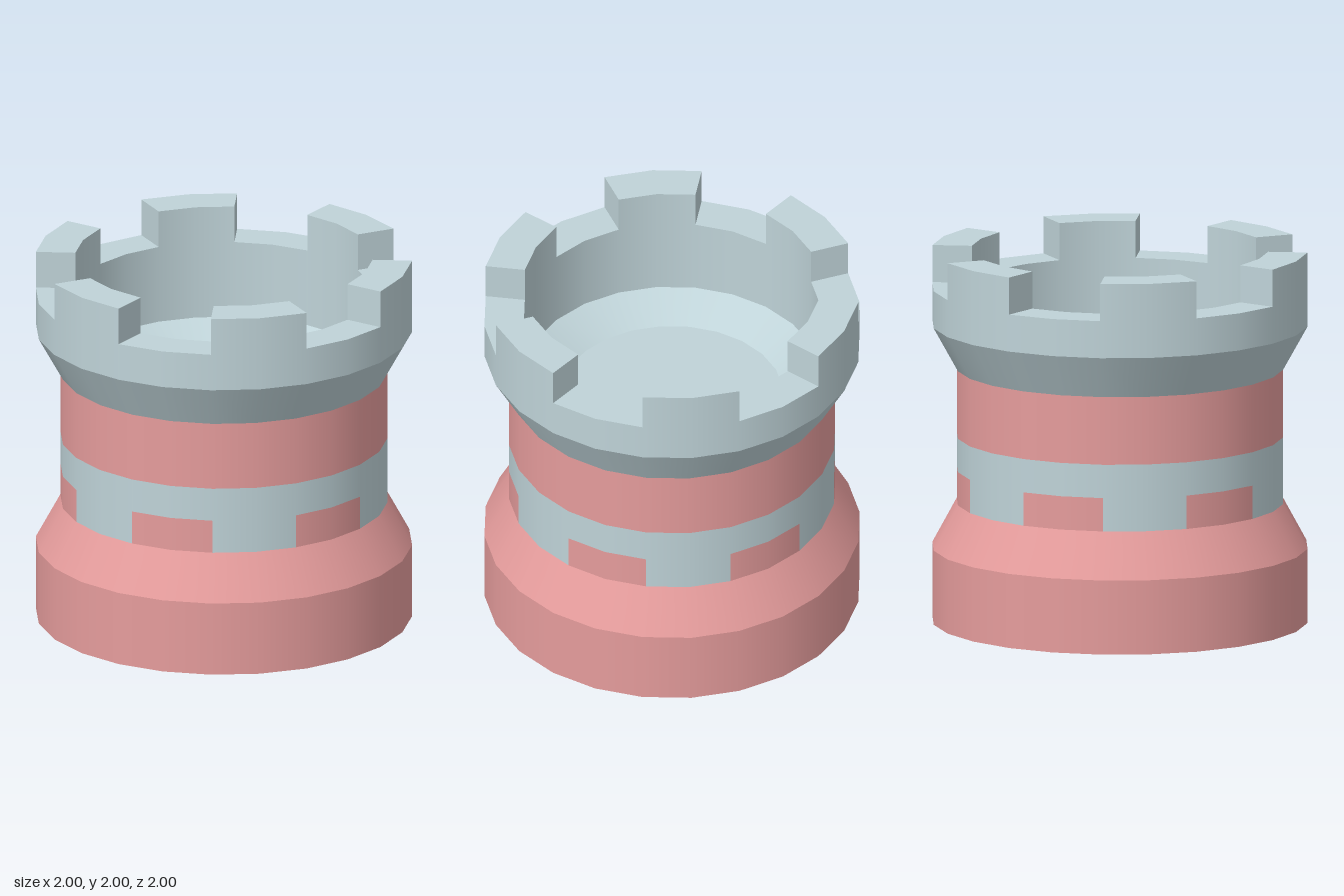
import * as THREE from 'three';
import { mergeGeometries } from 'three/addons/utils/BufferGeometryUtils.js';

const STEP = Math.PI / 6;             // 30 degrees: width of one merlon, gap or check
const OUT = 1, NECK = 0.87, IN = 0.79, FLOOR = 0.59;

// Turn a profile into bands with hard edges between them, smooth around the axis.
// start and count are in 30 degree steps, each made of two facets.
function turned(profile, start = 0, count = 12) {
  const bands = [];
  for (let i = 0; i + 1 < profile.length; i++) {
    const pair = [profile[i], profile[i + 1]].map(([r, y]) => new THREE.Vector2(r, y));
    bands.push(new THREE.LatheGeometry(pair, count * 2, start * STEP, count * STEP));
  }
  return mergeGeometries(bands);
}

// Flat radial end wall of a merlon
function endWall(angle, turn) {
  const r = (OUT + IN) / 2;
  return new THREE.PlaneGeometry(OUT - IN, 0.2)
    .rotateY(angle + turn)
    .translate(r * Math.sin(angle), 1.9, r * Math.cos(angle));
}

export function createModel() {
  const tower = new THREE.Group();
  tower.name = 'tower';
  const red = new THREE.MeshStandardMaterial({ color: 0xe59c9c });
  const stone = new THREE.MeshStandardMaterial({ color: 0xbfd3d8 });

  const add = (name, geometry, material) => {
    const mesh = new THREE.Mesh(geometry, material);
    mesh.name = name;
    tower.add(mesh);
  };

  // Foot and shaft
  add('base', turned([[0, 0], [OUT, 0], [OUT, 0.4], [NECK, 0.64]]), red);
  add('paleBand', turned([[NECK, 0.82], [NECK, 1]]), stone);
  add('redBand', turned([[NECK, 1], [NECK, 1.365]]), red);

  // Flared crown with its sunken floor
  add('crownOuter', turned([[NECK, 1.365], [OUT, 1.6], [OUT, 1.8]]), stone);
  add('crownInner', turned([[IN, 1.8], [IN, 1.38], [FLOOR, 1.27], [0, 1.27]]), stone);

  // Alternating checks, with a merlon above each pale one and a gap above each red one
  for (let i = 0; i < 12; i += 2) {
    const check = [[NECK, 0.64], [NECK, 0.82]];
    add('paleCheck', turned(check, i, 1), stone);
    add('redCheck', turned(check, i + 1, 1), red);
    add('merlon', mergeGeometries([
      turned([[OUT, 1.8], [OUT, 2], [IN, 2], [IN, 1.8]], i, 1),
      endWall(i * STEP, -Math.PI / 2),
      endWall((i + 1) * STEP, Math.PI / 2),
    ]), stone);
    add('gapSill', turned([[OUT, 1.8], [IN, 1.8]], i + 1, 1), stone);
  }
  return tower;
}
